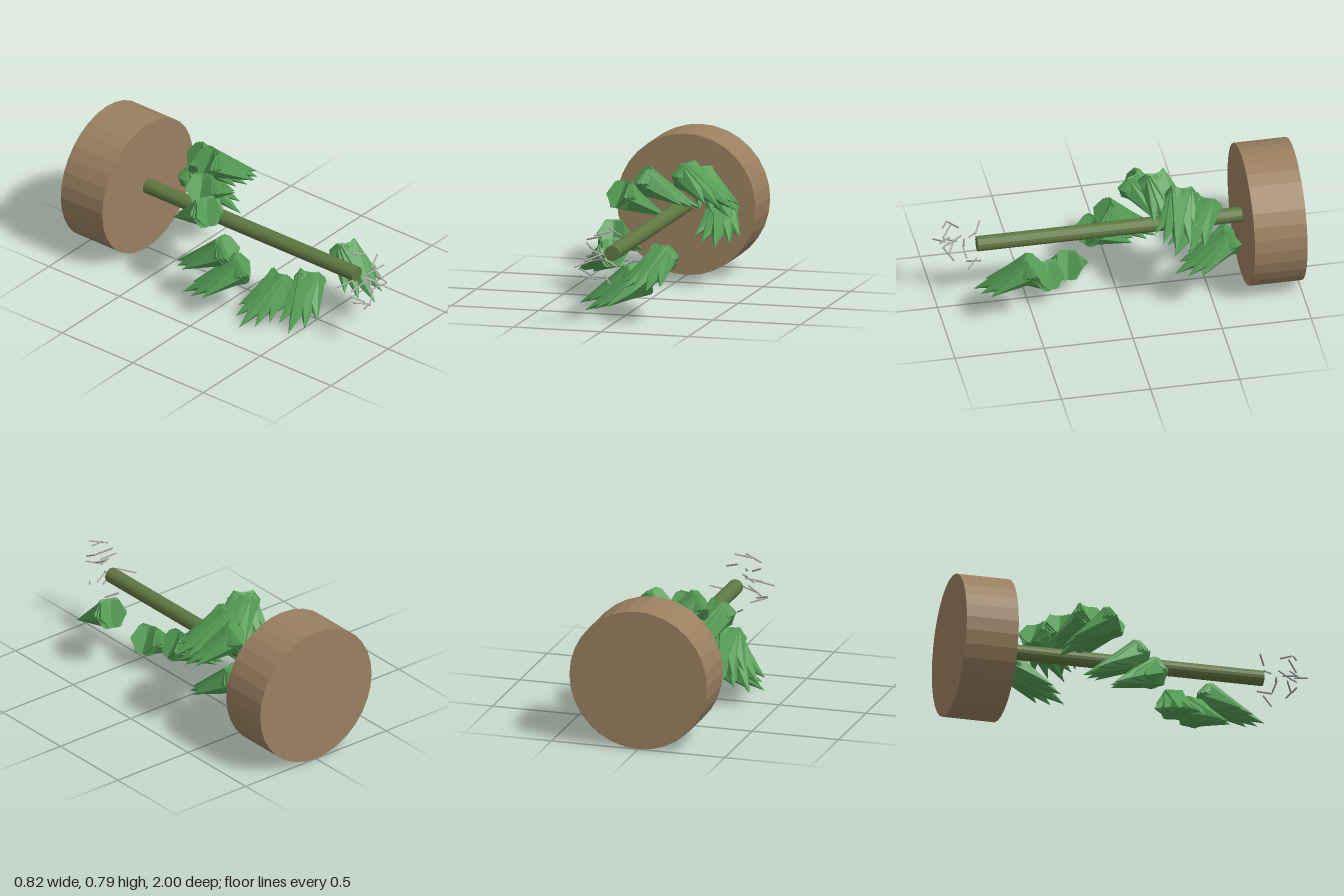
import * as THREE from 'three';

const AXIS_Y = 0.397;

function material(color) {
  return new THREE.MeshStandardMaterial({ color, flatShading: true });
}

// Cylinder lying along z between two depths
function rod(name, radius, z0, z1, sides, mat) {
  const geo = new THREE.CylinderGeometry(radius, radius, z1 - z0, sides);
  geo.rotateX(Math.PI / 2);
  const mesh = new THREE.Mesh(geo, mat);
  mesh.name = name;
  mesh.position.set(0, AXIS_Y, (z0 + z1) / 2);
  return mesh;
}

// Fan of six-sided spikes sharing one base, pointing along +z and drooping
function leafClump(mat) {
  const clump = new THREE.Group();
  const count = 5;
  for (let i = 0; i < count; i++) {
    const t = (i / (count - 1)) * 2 - 1;
    const length = 0.365 - 0.09 * Math.abs(t);
    const geo = new THREE.ConeGeometry(0.095 - 0.008 * Math.abs(t), length, 6);
    geo.rotateY(Math.PI / 6);
    geo.translate(0, length / 2, 0);
    geo.rotateX(Math.PI / 2);
    const spike = new THREE.Mesh(geo, mat);
    spike.name = 'leafSpike';
    spike.rotation.order = 'YXZ';
    spike.rotation.set(0.48, t * 0.55, 0);
    clump.add(spike);
  }
  return clump;
}

export function createModel() {
  const model = new THREE.Group();
  model.name = 'plant';
  const brown = material(0x9a8060);
  const olive = material(0x5f7842);
  const green = material(0x549c54);
  const grey = material(0xa8a8a8);

  // Base drum and stem
  model.add(rod('base', 0.397, -1, -0.705, 32, brown));
  model.add(rod('stem', 0.043, -0.72, 0.78, 16, olive));

  // Leaf clumps winding once round the stem: x, y, z and heading in degrees
  const clumps = [
    [0.24, 0.415, -0.595, 8], [0.15, 0.595, -0.48, 45], [0.095, 0.64, -0.35, 74],
    [-0.11, 0.615, -0.235, 111], [-0.205, 0.55, -0.12, 148], [-0.21, 0.355, 0.02, 185],
    [-0.19, 0.27, 0.11, 215], [-0.025, 0.168, 0.265, 262], [0.07, 0.18, 0.39, 287],
    [0.22, 0.345, 0.515, 340],
  ];
  const foliage = new THREE.Group();
  foliage.name = 'foliage';
  for (const [x, y, z, heading] of clumps) {
    const clump = leafClump(green);
    clump.name = 'leafClump';
    clump.position.set(x, y, z);
    clump.rotation.y = THREE.MathUtils.degToRad(heading);
    foliage.add(clump);
  }
  model.add(foliage);

  // Loose twigs at the tip: centre x, y, z and half extent dx, dy, dz
  const twigs = [
    [-0.05, 0.515, 0.95, 0.05, 0.015, 0.02], [-0.01, 0.535, 0.91, 0.05, 0.013, -0.02],
    [0.02, 0.52, 0.78, 0.04, -0.015, 0.02], [-0.075, 0.455, 0.93, 0.035, -0.02, 0.03],
    [-0.005, 0.44, 0.96, 0.005, -0.015, 0.03], [-0.11, 0.385, 0.78, 0.045, 0.016, 0.03],
    [-0.06, 0.4, 0.92, 0.04, 0.015, -0.03], [-0.06, 0.37, 0.84, 0.05, 0.012, 0.01],
    [-0.02, 0.395, 0.95, 0.04, 0.012, 0.025], [-0.11, 0.37, 0.97, 0.045, 0.018, -0.025],
    [0.01, 0.36, 0.85, 0.035, -0.02, -0.005], [0.12, 0.37, 0.82, 0.03, 0.017, -0.035],
    [-0.115, 0.31, 0.9, 0.04, -0.014, 0.02], [-0.09, 0.285, 0.92, 0.045, -0.013, -0.02],
    [-0.02, 0.253, 0.8, 0.025, -0.018, 0.03], [-0.025, 0.42, 0.9, 0.008, -0.02, 0.04],
  ];
  const tips = new THREE.Group();
  tips.name = 'twigs';
  const up = new THREE.Vector3(0, 1, 0);
  for (const [x, y, z, dx, dy, dz] of twigs) {
    const half = new THREE.Vector3(dx, dy, dz);
    const twig = new THREE.Mesh(new THREE.CylinderGeometry(0.005, 0.005, half.length() * 2, 6), grey);
    twig.name = 'twig';
    twig.position.set(x, y, z);
    twig.quaternion.setFromUnitVectors(up, half.normalize());
    tips.add(twig);
  }
  model.add(tips);
  return model;
}
